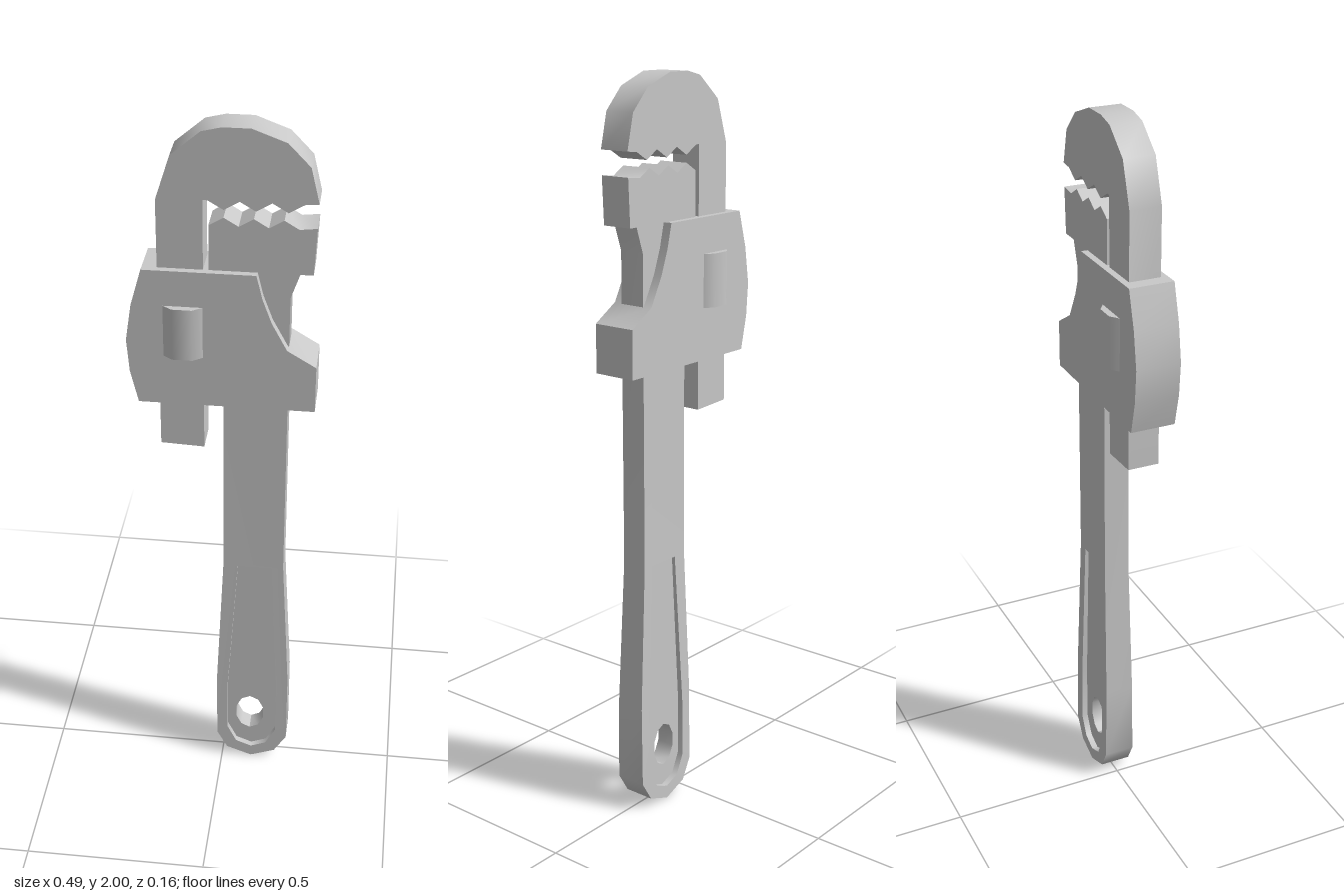
import * as THREE from 'three';
import { toCreasedNormals } from 'three/addons/utils/BufferGeometryUtils.js';

const steel = new THREE.MeshStandardMaterial({ color: 0xc8c8c8 });
steel.name = 'light steel grey';

const toPoints = (list) => list.map(([x, y]) => new THREE.Vector2(x, y));

// Plate cut from an outline, centred on z = 0, smooth along gentle bends
function plate(name, outline, halfDepth, holes = [], reshape = null) {
  const shape = new THREE.Shape(toPoints(outline));
  for (const hole of holes) shape.holes.push(new THREE.Path(toPoints(hole)));
  const geometry = new THREE.ExtrudeGeometry(shape, { depth: 2 * halfDepth, bevelEnabled: false });
  geometry.translate(0, 0, -halfDepth);
  if (reshape) {
    const p = geometry.attributes.position;
    for (let i = 0; i < p.count; i++) p.setZ(i, p.getZ(i) * reshape(p.getY(i)));
  }
  const mesh = new THREE.Mesh(toCreasedNormals(geometry, 0.78), steel);
  mesh.name = name;
  return mesh;
}

// Zigzag row of teeth from x0 to x1, alternating between two heights
function teeth(x0, x1, yA, yB, steps) {
  const row = [];
  for (let i = 0; i <= steps; i++) row.push([x0 + ((x1 - x0) * i) / steps, i % 2 ? yB : yA]);
  return row;
}

export function createModel() {
  const wrench = new THREE.Group();
  wrench.name = 'pipeWrench';

  // Handle rim, thickening towards the rounded end
  const recess = [
    [0.043, 0.713], [0.138, 0.713], [0.159, 0.28], [0.159, 0.11], [0.13, 0.055],
    [0.087, 0.037], [0.042, 0.055], [0.016, 0.11], [0.016, 0.28],
  ];
  const outline = [
    [0.003, 1.633], [0.003, 0.72], [-0.015, 0.31], [-0.015, 0.085], [0.015, 0.027], [0.087, 0],
    [0.157, 0.027], [0.192, 0.085], [0.192, 0.31], [0.17, 0.72], [0.17, 1.56], [0.195, 1.633],
  ];
  const thicken = (y) => 1 + 0.2 * THREE.MathUtils.clamp((0.72 - y) / 0.6, 0, 1);
  wrench.add(plate('handle', outline, 0.036, [recess], thicken));

  // Sunken panel with the hanging hole
  const hole = [];
  for (let i = 0; i < 10; i++) {
    const a = (i / 10) * Math.PI * 2 + Math.PI / 2;
    hole.push([0.081 + 0.042 * Math.cos(a), 0.16 + 0.062 * Math.sin(a)]);
  }
  wrench.add(plate('handlePanel', recess, 0.026, [hole]));

  // Lower jaw on top of the handle
  wrench.add(plate('lowerJaw', [
    [-0.033, 1.63], [0.226, 1.63], [0.232, 1.755],
    ...teeth(0.225, -0.033, 1.772, 1.75, 7).slice(1),
  ], 0.043));

  // Hooked upper jaw with its sliding shank
  wrench.add(plate('hookJaw', [
    [-0.162, 1.115], [-0.047, 1.11], [-0.047, 1.815],
    ...teeth(-0.035, 0.2, 1.815, 1.792, 6),
    [0.234, 1.818], [0.212, 1.91], [0.156, 1.968], [0.07, 2], [0, 2],
    [-0.05, 1.988], [-0.125, 1.925], [-0.162, 1.81],
  ], 0.043));

  // Housing with bulging back and scooped front
  wrench.add(plate('housing', [
    [-0.215, 1.25], [0.242, 1.25], [0.242, 1.38], [0.167, 1.425], [0.127, 1.5],
    [0.103, 1.565], [0.087, 1.63], [-0.2, 1.63], [-0.228, 1.53], [-0.243, 1.43], [-0.236, 1.34],
  ], 0.061));

  // Adjusting nut showing through both faces of the housing
  const nutGeometry = new THREE.CylinderGeometry(0.083, 0.083, 0.143, 10);
  nutGeometry.rotateY(Math.PI / 10);
  const nut = new THREE.Mesh(nutGeometry, steel);
  nut.name = 'adjustingNut';
  nut.position.set(-0.097, 1.462, 0);
  wrench.add(nut);

  return wrench;
}
